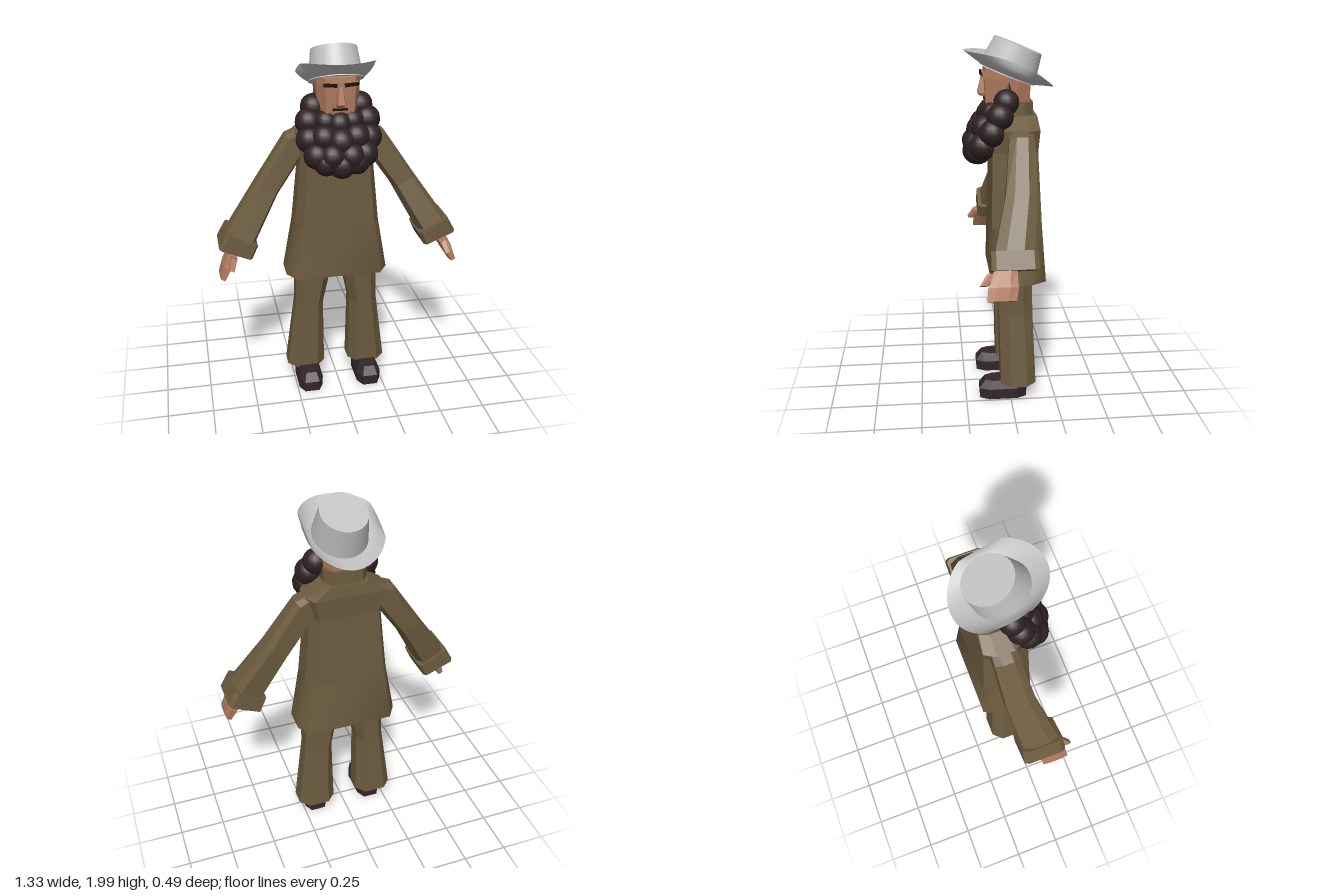
import * as THREE from 'three';
import { toCreasedNormals } from 'three/addons/utils/BufferGeometryUtils.js';

const mat = (name, color, extra = {}) => Object.assign(new THREE.MeshStandardMaterial({ color, ...extra }), { name });

// Eight-sided cross-section at (x, y, z), half sizes w and d, tilted in the xy plane
function ring(x, y, z, w, d, tilt = 0, kx = 0.7, kz = 0.45) {
  const unit = [[1, kz], [1, -kz], [kx, -1], [-kx, -1], [-1, -kz], [-1, kz], [-kx, 1], [kx, 1]];
  return unit.map(([u, v]) => [x + u * w * Math.cos(tilt), y + u * w * Math.sin(tilt), z + v * d]);
}

// Skin between cross-sections listed from bottom to top
function loft(rings, capped = true) {
  const p = [], n = rings[0].length;
  for (let i = 0; i + 1 < rings.length; i++)
    for (let j = 0; j < n; j++) {
      const k = (j + 1) % n, a = rings[i][j], b = rings[i][k], c = rings[i + 1][k], d = rings[i + 1][j];
      p.push(...a, ...b, ...c, ...a, ...c, ...d);
    }
  if (capped) {
    const lo = rings[0], hi = rings[rings.length - 1];
    for (let j = 1; j + 1 < n; j++) p.push(...lo[0], ...lo[j + 1], ...lo[j], ...hi[0], ...hi[j], ...hi[j + 1]);
  }
  const g = new THREE.BufferGeometry();
  g.setAttribute('position', new THREE.Float32BufferAttribute(p, 3));
  g.computeVertexNormals();
  return g;
}

// Mirrored copy across x = 0 with the corner order restored
function mirror(geo) {
  const g = geo.clone().scale(-1, 1, 1), a = g.attributes.position;
  for (let i = 0; i < a.count; i += 3) {
    const v = [a.getX(i + 1), a.getY(i + 1), a.getZ(i + 1)];
    a.setXYZ(i + 1, a.getX(i + 2), a.getY(i + 2), a.getZ(i + 2));
    a.setXYZ(i + 2, ...v);
  }
  g.computeVertexNormals();
  return g;
}

export function createModel() {
  const root = new THREE.Group();
  const cloth = mat('brown cloth', 0x6c5b3f);
  const skin = mat('skin', 0xb07a5e);
  const hair = mat('dark hair', 0x2e2122);
  const leather = mat('shoe leather', 0x33262a);
  const ink = mat('brow black', 0x14100f);
  const felt = mat('grey felt', 0xc2c2c2, { side: THREE.DoubleSide });

  const add = (name, geo, m, parent = root) => {
    const mesh = new THREE.Mesh(geo, m);
    mesh.name = name;
    parent.add(mesh);
    return mesh;
  };
  const pair = (name, geo, m) => {
    add('left ' + name, geo, m);
    add('right ' + name, mirror(geo), m);
  };

  // Coat: faceted upper body, smooth flared skirt, collar
  const waist = ring(0, 1.0, -0.035, 0.235, 0.135, 0, 0.84);
  add('coat body', loft([
    waist,
    ring(0, 1.4, -0.03, 0.195, 0.12, 0, 0.84),
    ring(0, 1.52, -0.05, 0.22, 0.108, 0, 0.84),
    ring(0, 1.585, -0.06, 0.12, 0.09, 0, 0.84),
  ]), cloth);
  add('coat skirt', toCreasedNormals(loft([ring(0, 0.7, -0.042, 0.287, 0.148, 0, 0.82), waist]), 1.2), cloth);
  add('collar', loft([
    ring(0, 1.55, -0.05, 0.115, 0.085),
    ring(0, 1.655, -0.04, 0.115, 0.09),
  ]), cloth);

  // Sleeves with turned cuffs
  pair('sleeve', loft([
    ring(0.545, 0.95, 0.02, 0.085, 0.1, 0.48),
    ring(0.38, 1.215, -0.035, 0.068, 0.08, 0.52),
    ring(0.218, 1.45, -0.055, 0.072, 0.066, 0.8),
    ring(0.13, 1.5, -0.055, 0.055, 0.06, 1.1),
  ]), cloth);
  pair('cuff', loft([
    ring(0.57, 0.895, 0.018, 0.095, 0.118, 0.4, 0.85, 0.8),
    ring(0.53, 0.973, 0.018, 0.092, 0.116, 0.48, 0.85, 0.8),
  ]), cloth);

  // Hands
  pair('hand', loft([
    ring(0.647, 0.765, 0.085, 0.018, 0.072, 0.5),
    ring(0.62, 0.825, 0.075, 0.027, 0.074, 0.5),
    ring(0.572, 0.91, 0.06, 0.03, 0.055, 0.45),
  ]), skin);
  pair('thumb', loft([
    ring(0.6, 0.83, 0.17, 0.016, 0.022, 0.5),
    ring(0.582, 0.885, 0.12, 0.02, 0.035, 0.5),
  ]), skin);

  // Flared trousers and shoes
  pair('trouser leg', loft([
    ring(0.18, 0.095, -0.042, 0.108, 0.097, 0, 0.55),
    ring(0.157, 0.5, -0.03, 0.079, 0.092, 0, 0.55),
    ring(0.13, 0.73, -0.022, 0.1, 0.098, 0, 0.55),
  ]), cloth);
  pair('shoe', loft([
    ring(0.172, 0, 0.042, 0.068, 0.13, 0, 0.6, 0.6),
    ring(0.172, 0.06, 0.042, 0.07, 0.133, 0, 0.6, 0.6),
    ring(0.172, 0.105, 0.03, 0.05, 0.11, 0, 0.6, 0.6),
  ]), leather);

  // Head and face
  add('head', loft([
    ring(0, 1.55, 0, 0.085, 0.1),
    ring(0, 1.65, 0.003, 0.105, 0.115),
    ring(0, 1.78, 0.003, 0.115, 0.123),
    ring(0, 1.83, 0, 0.115, 0.122),
    ring(0, 1.87, -0.035, 0.1, 0.085),
  ]), skin);
  add('brow ridge', new THREE.BoxGeometry(0.19, 0.025, 0.03), skin).position.set(0, 1.795, 0.12);
  add('nose', loft([
    ring(0, 1.68, 0.125, 0.02, 0.02),
    ring(0, 1.695, 0.13, 0.024, 0.03),
    ring(0, 1.785, 0.122, 0.011, 0.016),
  ]), skin);
  add('mouth', new THREE.BoxGeometry(0.08, 0.012, 0.008), ink).position.set(0, 1.664, 0.12);
  for (const s of [1, -1]) {
    const brow = add(s > 0 ? 'left eyebrow' : 'right eyebrow', new THREE.BoxGeometry(0.072, 0.018, 0.008), ink);
    brow.position.set(s * 0.055, 1.795, 0.138);
    brow.rotation.z = s * 0.08;
    add('sideburn', new THREE.ConeGeometry(0.022, 0.09, 4), hair).position.set(s * 0.112, 1.725, 0);
  }

  // Beard: a slanted cluster of round curls, [x, y, z, radius], mirrored where x > 0
  const beard = new THREE.Group();
  beard.name = 'beard';
  root.add(beard);
  const curls = [
    [0.125, 1.66, 0.015, 0.068], [0.155, 1.59, 0.05, 0.072], [0.07, 1.595, 0.085, 0.062],
    [0, 1.585, 0.1, 0.066], [0.157, 1.505, 0.09, 0.073], [0.085, 1.52, 0.125, 0.072],
    [0, 1.5, 0.145, 0.075], [0.125, 1.43, 0.14, 0.073], [0.05, 1.43, 0.17, 0.072],
    [0.08, 1.395, 0.16, 0.07], [0, 1.382, 0.168, 0.074],
  ];
  for (const [x, y, z, r] of curls)
    for (const s of x ? [1, -1] : [1])
      add('curl', new THREE.SphereGeometry(r, 16, 12), hair, beard).position.set(s * x, y, z);

  // Hat, tipped back, with brim sides rolled up
  const hat = new THREE.Group();
  hat.name = 'hat';
  hat.position.set(0, 1.82, -0.01);
  hat.rotation.x = -0.385;
  root.add(hat);
  const crown = new THREE.CylinderGeometry(0.122, 0.145, 0.165, 32).scale(1, 1, 1.1).translate(0, 0.05, 0);
  add('hat crown', crown, felt, hat);
  const brim = [1, 0.75, 0.5, 0.25, 0].map((t) => Array.from({ length: 40 }, (_, j) => {
    const a = (j / 40) * Math.PI * 2, c = Math.cos(a);
    const x = THREE.MathUtils.clamp(c * (0.138 + 0.08 * t), -0.193, 0.193);
    return [x, -0.03 + 0.03 * t + 0.05 * t * t * c * c, -Math.sin(a) * (0.15 + 0.11 * t)];
  }));
  add('hat brim', toCreasedNormals(loft(brim, false), 0.8), felt, hat);

  return root;
}
